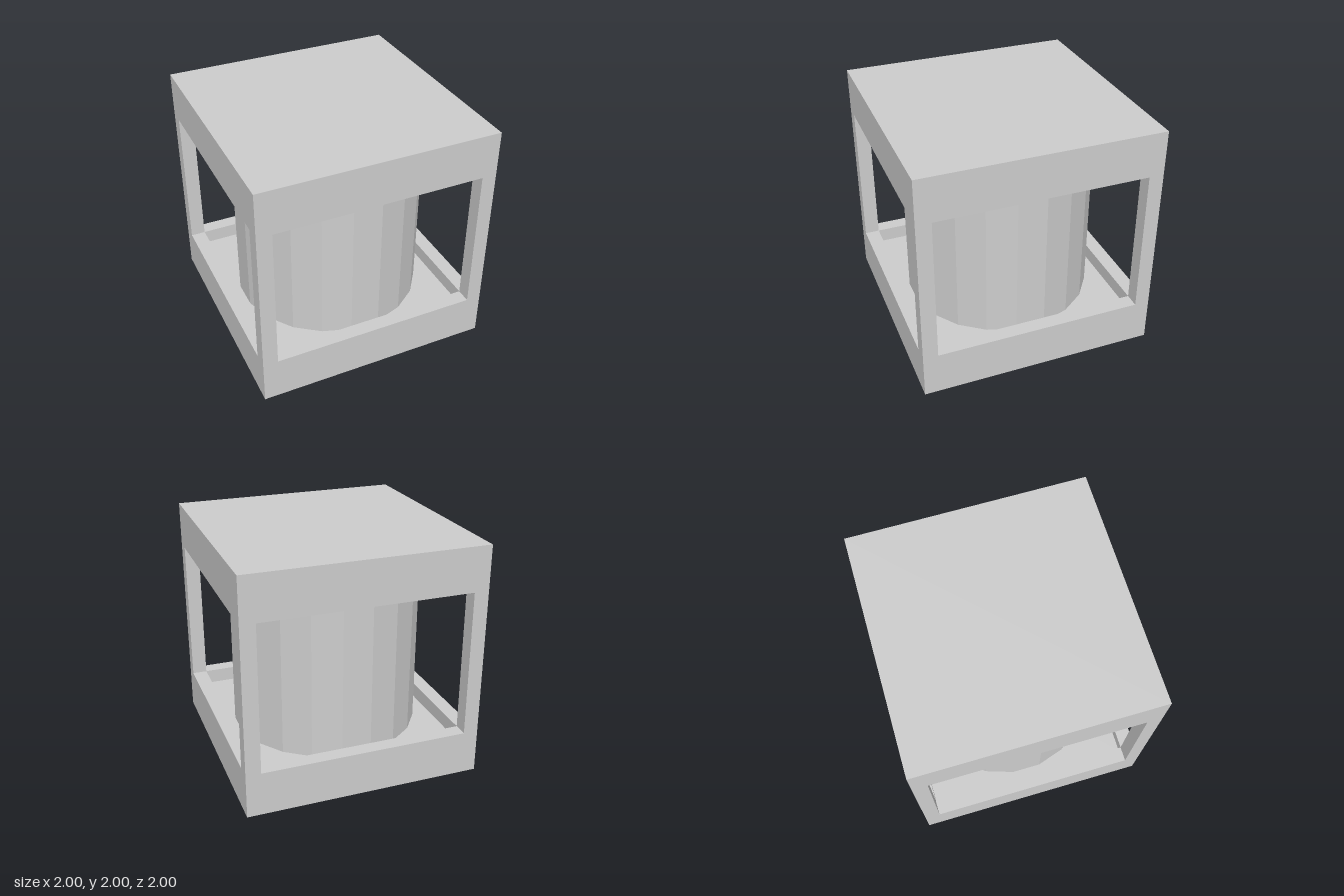
import * as THREE from 'three';

const grey = new THREE.MeshStandardMaterial({ color: 0xcccccc });
grey.name = 'light grey';

const SLAB = 0.25;   // floor and roof thickness
const WALL = 0.125;  // width of rims and posts
const RIM = 0.125;   // rim height above the slab

function add(parent, name, geometry, x, y, z) {
  const mesh = new THREE.Mesh(geometry, grey);
  mesh.name = name;
  mesh.position.set(x, y, z);
  parent.add(mesh);
  return mesh;
}

// Square ring lying flat, standing on its own y = 0
function rimGeometry() {
  const square = (r) => [[-r, -r], [r, -r], [r, r], [-r, r]].map(([x, y]) => new THREE.Vector2(x, y));
  const shape = new THREE.Shape(square(1));
  shape.holes.push(new THREE.Path(square(1 - WALL).reverse()));
  return new THREE.ExtrudeGeometry(shape, { depth: RIM, bevelEnabled: false }).rotateX(-Math.PI / 2);
}

export function createModel() {
  const model = new THREE.Group();
  model.name = 'cageWithDrum';

  // Floor and roof slabs with their raised rims
  const slab = new THREE.BoxGeometry(2, SLAB, 2);
  const rim = rimGeometry();
  add(model, 'floor', slab, 0, SLAB / 2, 0);
  add(model, 'floorRim', rim, 0, SLAB, 0);
  add(model, 'roof', slab, 0, 2 - SLAB / 2, 0);
  add(model, 'roofRim', rim, 0, 2 - SLAB - RIM, 0);

  // Corner posts between the rims
  const postHeight = 2 - 2 * (SLAB + RIM);
  const post = new THREE.BoxGeometry(WALL, postHeight, WALL);
  const offset = 1 - WALL / 2;
  for (const x of [-offset, offset]) {
    for (const z of [-offset, offset]) add(model, 'cornerPost', post, x, 1, z);
  }

  // Twenty-sided drum from floor to roof, a flat facet facing each side
  const drum = new THREE.CylinderGeometry(0.8, 0.8, 2 - 2 * SLAB, 20, 1, true)
    .rotateY(Math.PI / 20)
    .toNonIndexed();
  drum.computeVertexNormals();
  add(model, 'drum', drum, 0, 1, 0);

  return model;
}
